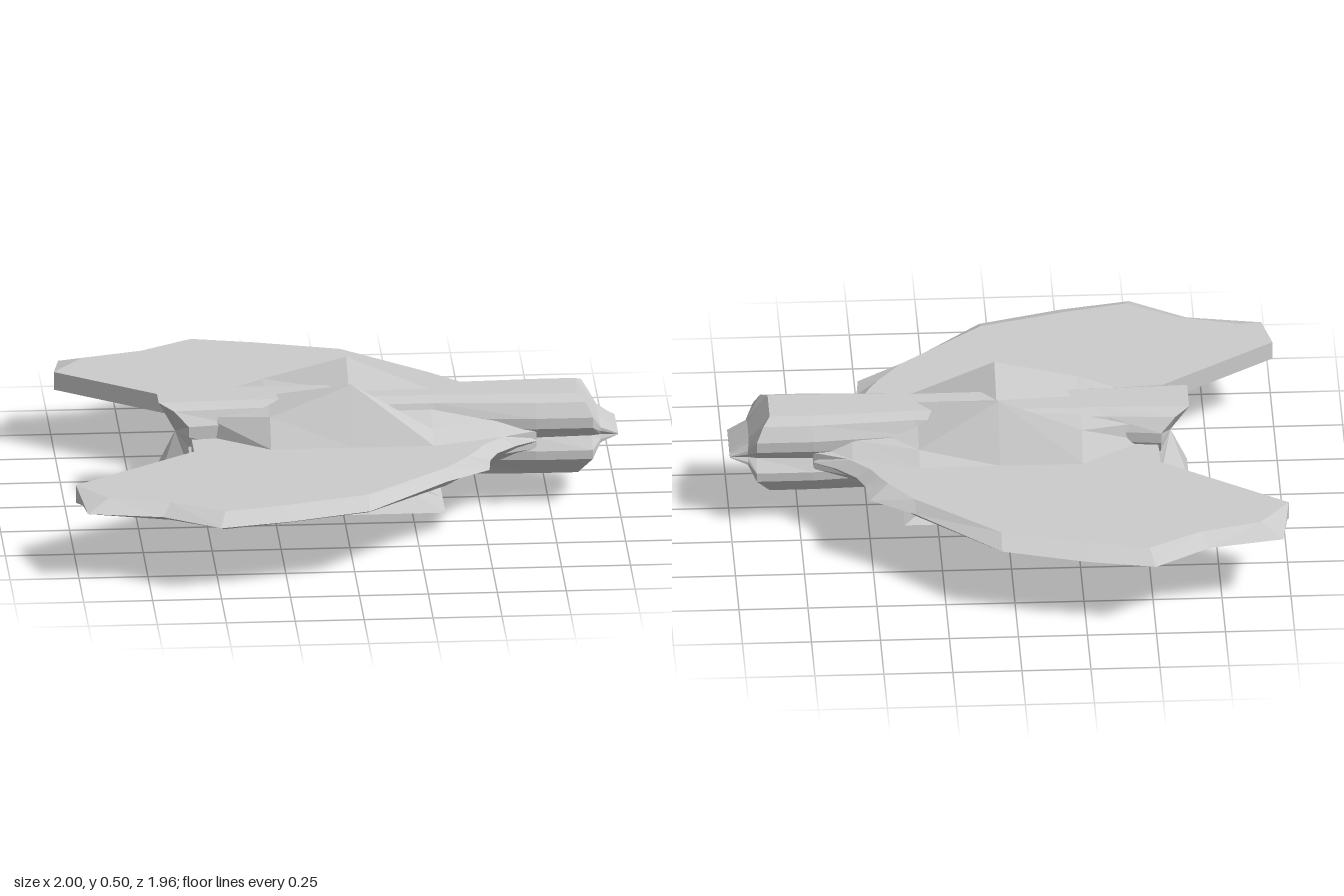
import * as THREE from 'three';

const material = new THREE.MeshStandardMaterial({ color: 0xcccccc, flatShading: true });

// Flat-shaded mesh from a list of [a, b, c] corner triples; mirror flips it across z = 0
function facetMesh(name, tris, mirror = false) {
  const pos = [];
  for (const [a, b, c] of tris) {
    for (const p of mirror ? [a, c, b] : [a, b, c]) pos.push(p[0], p[1], mirror ? -p[2] : p[2]);
  }
  const geo = new THREE.BufferGeometry();
  geo.setAttribute('position', new THREE.Float32BufferAttribute(pos, 3));
  geo.computeVertexNormals();
  const mesh = new THREE.Mesh(geo, material);
  mesh.name = name;
  return mesh;
}

// Closes a half section (top centre to bottom centre, z >= 0) into a full ring
function ring(half) {
  const other = half.slice(1, -1).reverse().map(([x, y, z]) => [x, y, -z]);
  return [...half, ...other];
}

// Skins rings that follow each other along +x and caps both ends
function loft(rings) {
  const tris = [];
  const n = rings[0].length;
  const centre = (r) => [0, 1, 2].map((k) => r.reduce((s, p) => s + p[k], 0) / n);
  const first = rings[0], last = rings[rings.length - 1];
  const c0 = centre(first), c1 = centre(last);
  for (let j = 0; j < n; j++) {
    const k = (j + 1) % n;
    for (let i = 0; i + 1 < rings.length; i++) {
      const r = rings[i], s = rings[i + 1];
      tris.push([r[j], r[k], s[k]], [r[j], s[k], s[j]]);
    }
    tris.push([c0, first[k], first[j]], [c1, last[j], last[k]]);
  }
  return tris;
}

// Fuselage section: xs = x of the top/bottom edges, xm = x of the flanks, waist = z of the side groove
function tubeSection(xs, xm, waist, w = 0.15, h = 0.153) {
  const y = 0.267;
  return ring([
    [xs, y + h, 0], [xs, y + h, w * 0.52], [(xs + xm) / 2, y + h * 0.87, w * 0.8],
    [xm, y + h * 0.54, w], [xm, y + h * 0.28, w], [xm, y, waist], [xm, y - h * 0.28, w],
    [xm, y - h * 0.5, w], [xs, y - h, w * 0.52], [xs, y - h, 0],
  ]);
}

// Hull section: valley on the centre line, raised ridge, vertical side, sloping belly
function hullSection(x, valleyY, ridgeZ, ridgeY, sideZ, bellyZ, bellyY) {
  return ring([
    [x, valleyY, 0], [x, ridgeY, ridgeZ], [x, 0.3, sideZ], [x, 0.233, sideZ],
    [x, bellyY, bellyZ], [x, bellyY, 0],
  ]);
}

// Wing plate: flat top and bottom with a bevelled leading edge
function wingTriangles() {
  const rim = [[-0.55, 0.05], [-0.55, 0.27], [-1, 0.59], [-0.97, 0.8], [-0.7, 0.85], [-0.5, 0.98],
    [-0.25, 0.93], [0.05, 0.84], [0.35, 0.55], [0.51, 0.44], [0.52, 0.34], [0.55, 0.27],
    [0.62, 0.2], [0.7, 0.15], [0.7, 0.05]];
  const face = [[-0.55, 0.05], [-0.55, 0.27], [-1, 0.59], [-0.89, 0.73], [-0.67, 0.79], [-0.48, 0.9],
    [-0.26, 0.85], [0.05, 0.76], [0.35, 0.5], [0.44, 0.38], [0.47, 0.33], [0.5, 0.27],
    [0.57, 0.2], [0.64, 0.14], [0.65, 0.05]];
  const at = (pts, y) => pts.map(([x, z]) => [x, y, z]);
  const top = at(face, 0.3), mid = at(rim, 0.265), low = at(face, 0.232);
  const tris = [];
  const contour = face.map(([x, z]) => new THREE.Vector2(x, z));
  for (const t of THREE.ShapeUtils.triangulateShape(contour, [])) {
    const up = THREE.ShapeUtils.area(t.map((i) => contour[i])) < 0;
    const [a, b, c] = up ? t : [t[0], t[2], t[1]];
    tris.push([top[a], top[b], top[c]], [low[a], low[c], low[b]]);
  }
  for (let i = 0; i < rim.length; i++) {
    const k = (i + 1) % rim.length;
    for (const [u, v] of [[top, mid], [mid, low]]) {
      tris.push([u[i], v[i], v[k]], [u[i], v[k], u[k]]);
    }
  }
  return tris;
}

// Foot: low wedge that spreads from the ankle to a rectangular sole
function footTriangles() {
  const sole = [[-0.02, 0, 0], [0.37, 0, 0], [0.37, 0, 0.16], [-0.02, 0, 0.16]];
  const ankle = [[0.13, 0.045, 0.02], [0.27, 0.045, 0.02], [0.27, 0.045, 0.08], [0.13, 0.045, 0.08]];
  const tris = [[sole[0], sole[1], sole[2]], [sole[0], sole[2], sole[3]],
    [ankle[0], ankle[2], ankle[1]], [ankle[0], ankle[3], ankle[2]]];
  for (let i = 0; i < 4; i++) {
    const k = (i + 1) % 4;
    tris.push([sole[i], ankle[i], ankle[k]], [sole[i], ankle[k], sole[k]]);
  }
  return tris;
}

// Leg: pinched side profile extruded across z
function makeLeg(name, side) {
  const outline = [[0.04, 0.135], [0.13, 0.107], [0.15, 0.085], [0.13, 0.045], [0.27, 0.045],
    [0.29, 0.06], [0.26, 0.1], [0.34, 0.135]];
  const shape = new THREE.Shape(outline.map(([x, y]) => new THREE.Vector2(x, y)));
  const geo = new THREE.ExtrudeGeometry(shape, { depth: 0.04, bevelEnabled: false });
  geo.translate(0, 0, side * 0.05 - 0.02);
  const mesh = new THREE.Mesh(geo, material);
  mesh.name = name;
  return mesh;
}

export function createModel() {
  const model = new THREE.Group();
  model.name = 'wingedCraft';

  // Tubular fuselage with grooved flanks and a wedge nose
  model.add(facetMesh('fuselage', loft([
    tubeSection(-0.665, -0.56, 0.13),
    tubeSection(-0.33, -0.4, 0.13, 0.13),
    tubeSection(0.33, 0.33, 0.11, 0.12),
    tubeSection(0.7, 0.7, 0.12),
    tubeSection(0.855, 0.905, 0.11),
    tubeSection(0.93, 0.935, 0.1, 0.11, 0.056),
    tubeSection(1, 1, 0.1, 0.1, 0.004),
  ])));

  // Broad twin-ridged hull around the fuselage
  model.add(facetMesh('hull', loft([
    hullSection(-0.5, 0.36, 0.1, 0.37, 0.11, 0.08, 0.16),
    hullSection(-0.27, 0.41, 0.2, 0.4, 0.27, 0.14, 0.13),
    hullSection(0.03, 0.42, 0.145, 0.498, 0.27, 0.13, 0.13),
    hullSection(0.32, 0.42, 0.21, 0.34, 0.27, 0.1, 0.13),
    hullSection(0.56, 0.36, 0.13, 0.345, 0.2, 0.09, 0.15),
    hullSection(0.7, 0.32, 0.1, 0.31, 0.14, 0.08, 0.2),
  ])));

  // Mirrored wings, legs and feet
  for (const side of [1, -1]) {
    const label = side > 0 ? 'front' : 'back';
    model.add(facetMesh(label + 'Wing', wingTriangles(), side < 0));
    model.add(makeLeg(label + 'Leg', side));
    model.add(facetMesh(label + 'Foot', footTriangles(), side < 0));
  }
  return model;
}
